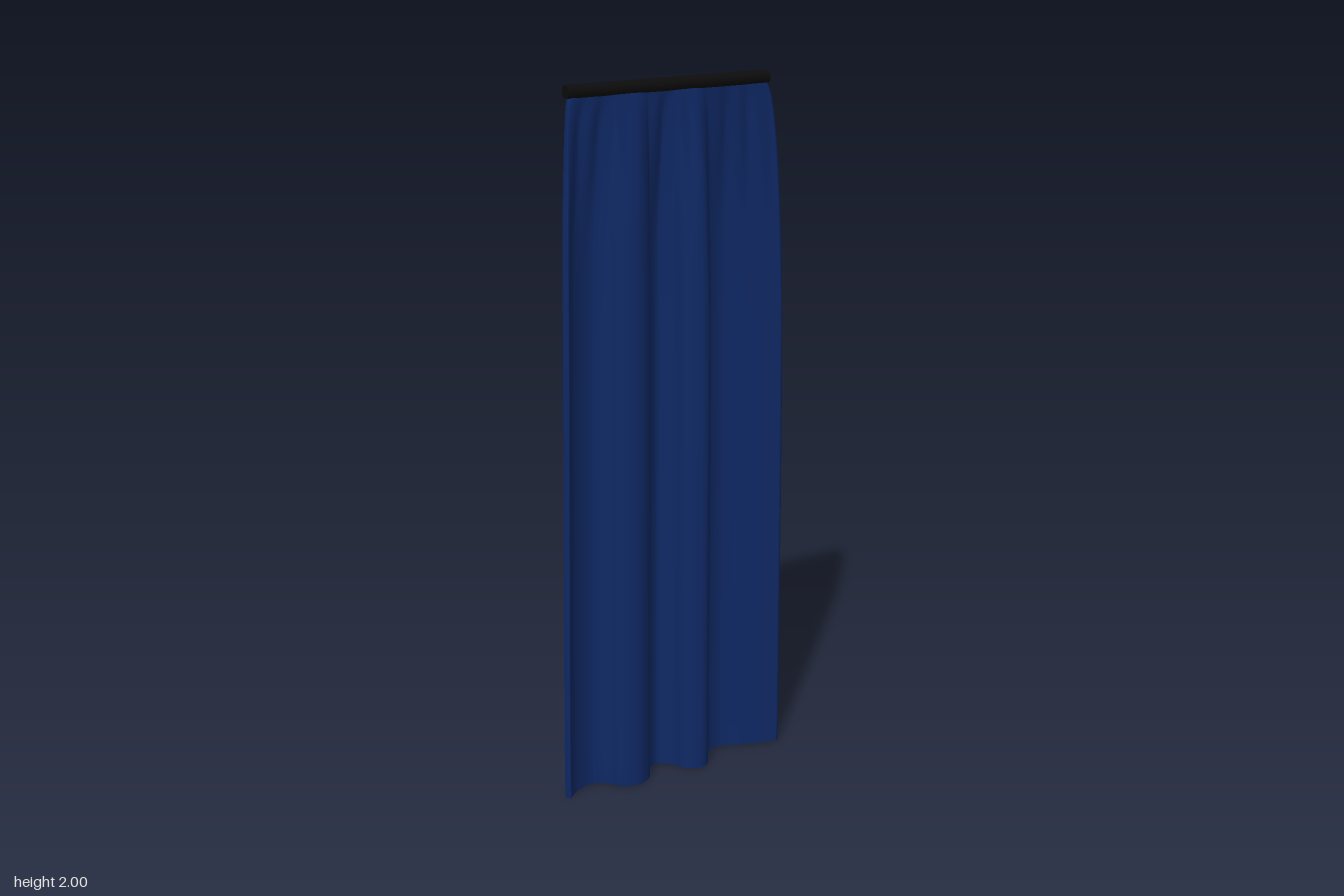
import * as THREE from 'three';

const fabric = new THREE.MeshStandardMaterial({ color: 0x0f2864 });
fabric.name = 'navy fabric';
const black = new THREE.MeshStandardMaterial({ color: 0x0c0c0c });
black.name = 'black rod';

// Plan of the folds at the hem, as x, z
const hemCurve = new THREE.CatmullRomCurve3([
  [-0.354, 0.014], [-0.315, -0.018], [-0.25, -0.034], [-0.205, -0.008], [-0.183, 0.026], [-0.14, 0.040],
  [-0.1, 0.019], [-0.077, -0.022], [-0.03, -0.047], [0.008, -0.016], [0.03, 0.026], [0.073, 0.045],
  [0.103, 0.014], [0.124, -0.026], [0.18, -0.045], [0.25, -0.019], [0.31, 0.003], [0.355, 0.014],
].map(([x, z]) => new THREE.Vector3(x, 0, z)));

// Height, left edge, right edge, fold depth
const profile = [
  [0, -0.358, 0.357, 1], [0.02, -0.36, 0.359, 1], [0.4, -0.356, 0.357, 1], [0.8, -0.35, 0.355, 1],
  [1.2, -0.344, 0.351, 0.99], [1.4, -0.341, 0.347, 0.97], [1.6, -0.338, 0.339, 0.86], [1.7, -0.335, 0.334, 0.73],
  [1.8, -0.331, 0.327, 0.51], [1.88, -0.327, 0.318, 0.31], [1.94, -0.321, 0.306, 0.14], [1.985, -0.31, 0.285, 0],
];

// Interpolate the profile smoothly between its rows
function profileAt(y) {
  let k = 0;
  while (k < profile.length - 2 && y > profile[k + 1][0]) k++;
  const row = (n) => profile[Math.min(Math.max(n, 0), profile.length - 1)];
  const [a, b] = [row(k), row(k + 1)];
  const h = b[0] - a[0];
  const t = (y - a[0]) / h;
  return [1, 2, 3].map((c) => {
    const slope = (n) => (row(n + 1)[c] - row(n - 1)[c]) / (row(n + 1)[0] - row(n - 1)[0]);
    const s = t * t * (3 - 2 * t);
    return a[c] + (b[c] - a[c]) * s
      + h * (t * (1 - t) ** 2 * slope(k) - t * t * (1 - t) * slope(k + 1));
  });
}

function curtainGeometry() {
  const cols = 140, rows = 70, half = 0.008;
  const plan = hemCurve.getSpacedPoints(cols);
  const x0 = plan[0].x, span = plan[cols].x - x0;
  const pos = [], index = [];
  const loop = 2 * (cols + 1);

  for (let j = 0; j <= rows; j++) {
    const t = j / rows;
    const y = 1.985 * (1 - (1 - t) ** 1.4);
    const [left, right, depth] = profileAt(y);
    // Small gathers fade in below the rod
    const gather = 0.0045 * THREE.MathUtils.smoothstep(y, 1.5, 1.88)
      * (1 - THREE.MathUtils.smoothstep(y, 1.9, 1.985));
    const line = plan.map((p) => {
      const u = (p.x - x0) / span;
      const ripple = Math.sin(u * 62 + 0.8) * (0.65 + 0.35 * Math.sin(u * 17));
      return [left + (right - left) * u, p.z * depth + gather * ripple];
    });
    const sides = line.map(([x, z], i) => {
      const a = line[Math.max(i - 1, 0)], b = line[Math.min(i + 1, cols)];
      const dx = b[0] - a[0], dz = b[1] - a[1], s = half / Math.hypot(dx, dz);
      return [x, z, -dz * s, dx * s];
    });
    sides.forEach(([x, z, nx, nz]) => pos.push(x + nx, y, z + nz));
    sides.reverse().forEach(([x, z, nx, nz]) => pos.push(x - nx, y, z - nz));
  }
  // Front, back and side edges
  for (let j = 0; j < rows; j++) {
    for (let i = 0; i < loop; i++) {
      const a = j * loop + i, b = j * loop + (i + 1) % loop;
      index.push(a, b, b + loop, a, b + loop, a + loop);
    }
  }
  // Flat hem with its own vertices
  const base = pos.length / 3;
  pos.push(...pos.slice(0, loop * 3));
  for (let i = 0; i < cols; i++) {
    const f = base + i, k = base + loop - 1 - i;
    index.push(f, k, k - 1, f, k - 1, f + 1);
  }
  const g = new THREE.BufferGeometry();
  g.setAttribute('position', new THREE.Float32BufferAttribute(pos, 3));
  g.setIndex(index);
  g.computeVertexNormals();
  return g;
}

export function createModel() {
  const model = new THREE.Group();
  model.name = 'curtain';

  const drape = new THREE.Mesh(curtainGeometry(), fabric);
  drape.name = 'drape';

  const rod = new THREE.Mesh(new THREE.CylinderGeometry(0.018, 0.018, 0.622, 32), black);
  rod.name = 'curtainRod';
  rod.rotation.z = Math.PI / 2;
  rod.position.set(-0.013, 1.982, 0);

  model.add(drape, rod);
  return model;
}
